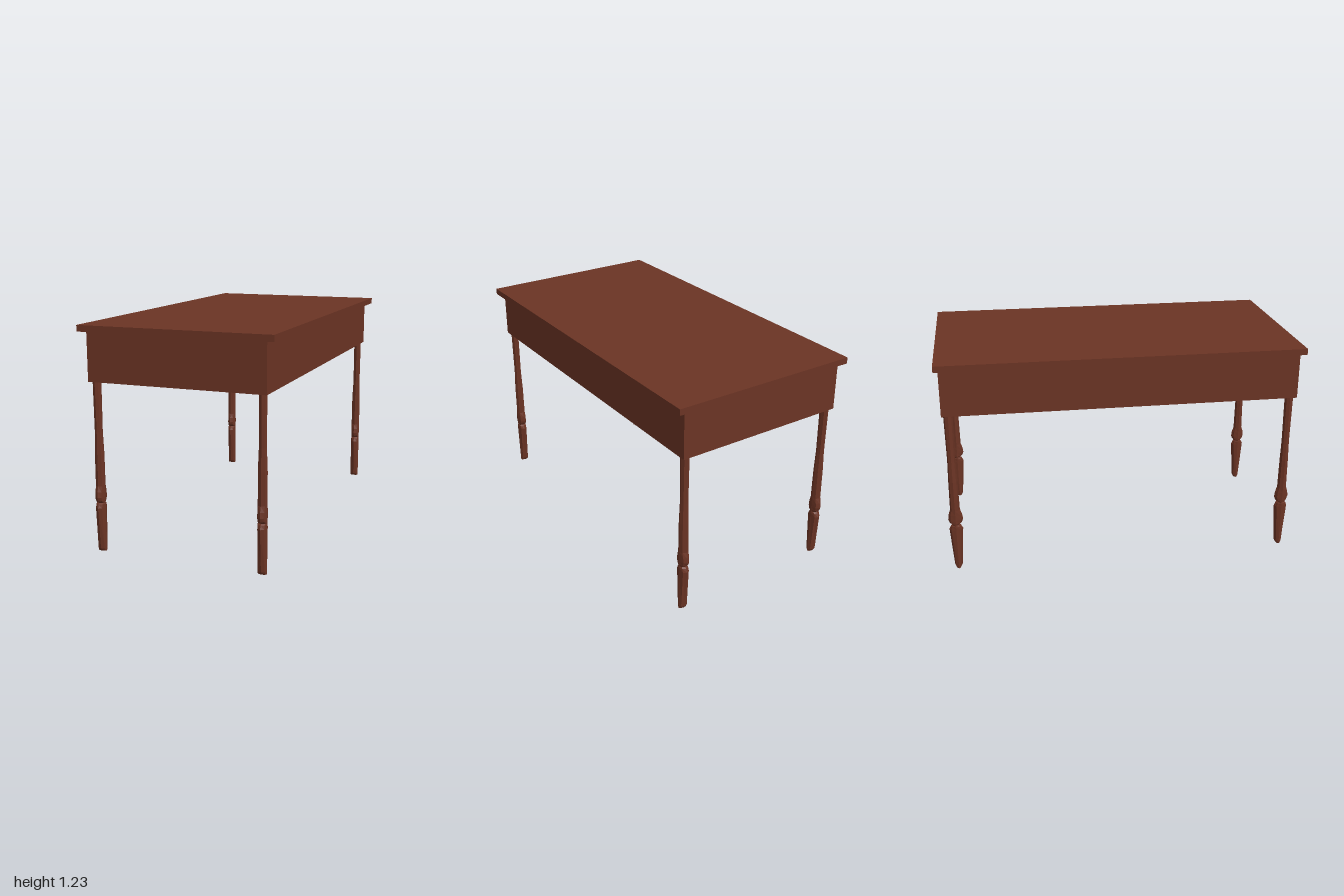
import * as THREE from 'three';

const wood = new THREE.MeshStandardMaterial({ color: 0x6b3424 });
wood.name = 'reddish brown wood';

// Turned leg, bottom to top: [height, half width in x, half depth in z]
const LEG_ROWS = [
  [0, 0, 0],
  [0, 0.025, 0.013],
  [0.015, 0.026, 0.021],
  [0.04, 0.026, 0.023],
  [0.245, 0.026, 0.038],
  [0.265, 0.026, 0.029],
  [0.272, 0.025, 0.019],
  [0.285, 0.026, 0.034],
  [0.305, 0.026, 0.041],
  [0.335, 0.026, 0.037],
  [0.365, 0.026, 0.027],
  [0.54, 0.026, 0.025],
  [0.66, 0.021, 0.022],
  [0.93, 0.022, 0.025],
];

// Eight-sided lathe with a separate x and z radius on every row
function makeLegGeometry() {
  const profile = LEG_ROWS.map(([y]) => new THREE.Vector2(1, y));
  const lathe = new THREE.LatheGeometry(profile, 8);
  const pos = lathe.attributes.position;
  for (let i = 0; i < pos.count; i++) {
    const [, rx, rz] = LEG_ROWS[i % LEG_ROWS.length];
    pos.setX(i, pos.getX(i) * rx);
    pos.setZ(i, pos.getZ(i) * rz);
  }
  const faceted = lathe.toNonIndexed();
  faceted.computeVertexNormals();
  return faceted;
}

function slab(name, width, depth, bottom, top) {
  const mesh = new THREE.Mesh(new THREE.BoxGeometry(width, top - bottom, depth), wood);
  mesh.name = name;
  mesh.position.y = (bottom + top) / 2;
  return mesh;
}

export function createModel() {
  const table = new THREE.Group();
  table.name = 'table';

  // Overhanging top and the deep closed apron below it
  table.add(slab('tableTop', 1.068, 2, 1.192, 1.226));
  table.add(slab('apron', 0.982, 1.954, 0.93, 1.192));

  // Four legs
  const legGeometry = makeLegGeometry();
  for (const [end, z] of [['front', 0.942], ['back', -0.942]]) {
    for (const [side, x] of [['Left', 0.459], ['Right', -0.459]]) {
      const leg = new THREE.Mesh(legGeometry, wood);
      leg.name = `${end}${side}Leg`;
      leg.position.set(x, 0, z);
      table.add(leg);
    }
  }
  return table;
}
